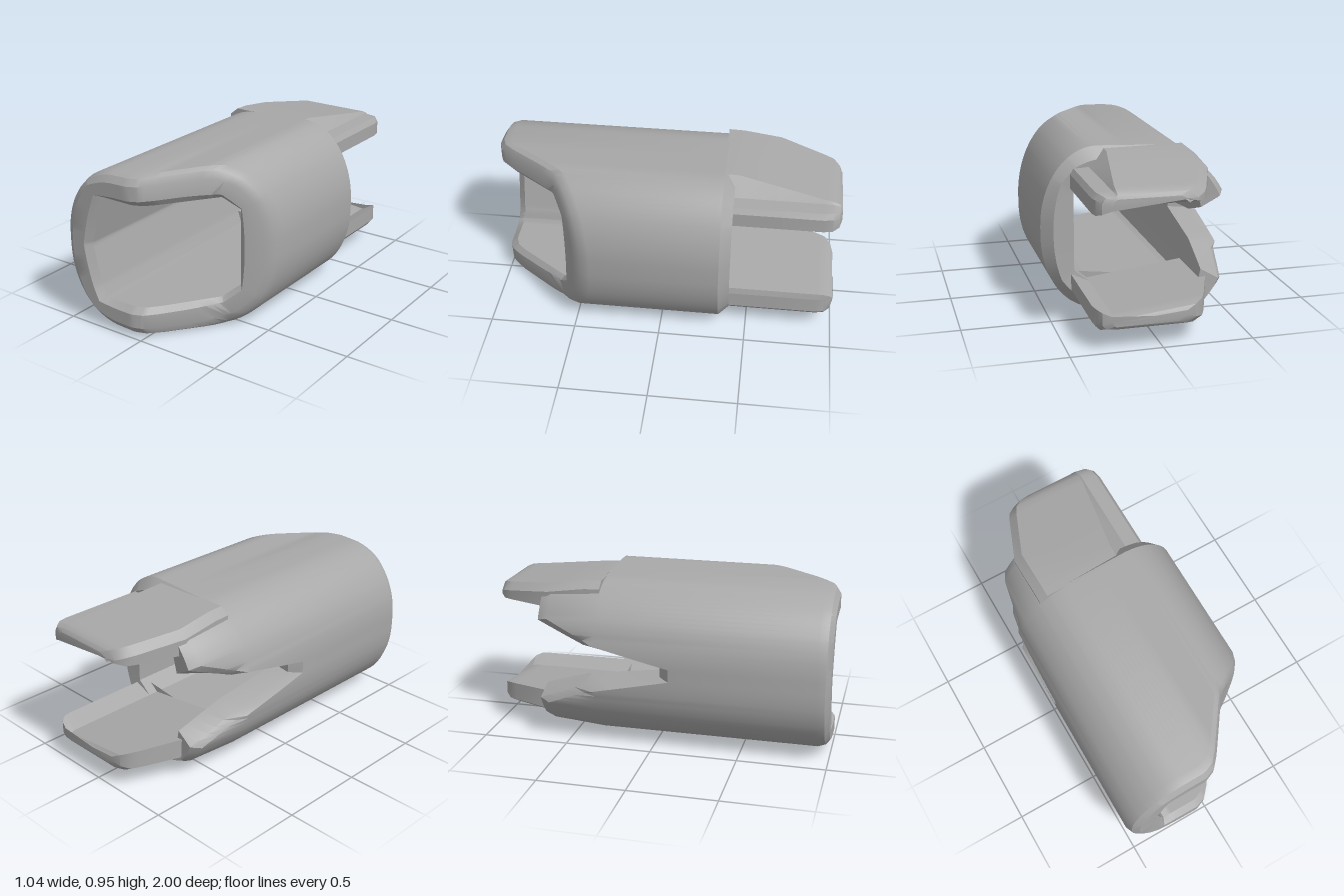
import * as THREE from 'three';
import { toCreasedNormals } from 'three/addons/utils/BufferGeometryUtils.js';

const CY = 0.475; // height of the sleeve axis
const lerp = THREE.MathUtils.lerp;

// Skin rows of points; each row is a closed loop. Rows either wrap round or get end caps.
function loft(rows, wrap) {
  const n = rows[0].length, m = rows.length, index = [];
  for (let r = 0; r < (wrap ? m : m - 1); r++) {
    for (let j = 0; j < n; j++) {
      const k = (j + 1) % n, s = (r + 1) % m;
      const a = r * n + j, b = r * n + k, c = s * n + k, d = s * n + j;
      index.push(a, b, d, b, c, d);
    }
  }
  if (!wrap) {
    const e = (m - 1) * n;
    for (let j = 1; j < n - 1; j++) index.push(0, j + 1, j, e, e + j, e + j + 1);
  }
  const g = new THREE.BufferGeometry();
  g.setAttribute('position', new THREE.Float32BufferAttribute(rows.flat(2), 3));
  g.setIndex(index);
  return toCreasedNormals(g, 0.55);
}

// Piecewise linear curve through [input, output] pairs
function curve(pts, v) {
  if (v <= pts[0][0]) return pts[0][1];
  for (let i = 1; i < pts.length; i++) {
    const [a, p] = pts[i - 1], [b, q] = pts[i];
    if (v <= b) return lerp(p, q, (v - a) / (b - a));
  }
  return pts[pts.length - 1][1];
}

// Where a ray from the axis meets a closed outline
function hit(poly, t) {
  const dx = Math.cos(t), dy = Math.sin(t);
  for (let i = 0; i < poly.length; i++) {
    const [ax, ay] = poly[i], [bx, by] = poly[(i + 1) % poly.length];
    const ex = bx - ax, ey = by - ay, det = ex * dy - ey * dx;
    if (Math.abs(det) < 1e-9) continue;
    const u = ((ay - CY) * dx - ax * dy) / det;
    const d = (ex * (ay - CY) - ey * ax) / det;
    if (d > 0 && u >= -1e-6 && u <= 1 + 1e-6) return [dx * d, CY + dy * d];
  }
  return [0, CY];
}

// Outer outline: four elliptical corners
function outerOutline() {
  const out = [];
  const corners = [[0.2, 0.03, 0.32, 0.445], [-0.16, 0.05, -0.36, 0.41],
    [-0.16, -0.05, -0.36, -0.41], [0.2, -0.03, 0.32, -0.445]];
  corners.forEach(([cx, cy, rx, ry], q) => {
    for (let i = 0; i <= 14; i++) {
      const a = ((q % 2 ? 14 - i : i) / 14) * Math.PI / 2;
      out.push([cx + rx * Math.cos(a), CY + cy + ry * Math.sin(a)]);
    }
  });
  return out;
}

const INNER = [[0.34, 0.25], [0.34, 0.7], [0.255, 0.77], [-0.275, 0.77],
  [-0.35, CY], [-0.3, 0.25], [-0.275, 0.175], [0.255, 0.18]];

// Slanted front edge, as z against x
const FRONT = [[-0.52, 1], [-0.06, 1], [0, 0.975], [0.05, 0.92], [0.26, 0.63], [0.55, 0.44]];

// Back edge, as z against degrees away from the right side's middle: notch, flap, plain end
const BACK = [[0, 0.05], [4, 0.05], [15, -0.4], [30, -0.68], [55.9, -0.68], [56.1, -0.4], [180, -0.4]];

function sleeveGeometry() {
  const outline = outerOutline();
  const angles = [];
  for (let i = 0; i < 120; i++) angles.push(i * 3 + 0.01);
  for (const d of [4, 15, 30, 55.9, 56.1]) angles.push(180 - d, 180 + d);
  for (const [x, y] of INNER) {
    angles.push((THREE.MathUtils.radToDeg(Math.atan2(y - CY, x)) + 360) % 360);
  }
  angles.sort((a, b) => a - b);
  const rows = Array.from({ length: 9 }, () => []);
  for (const deg of angles) {
    const t = THREE.MathUtils.degToRad(deg);
    const o = hit(outline, t), n = hit(INNER, t);
    const back = curve(BACK, Math.abs(deg - 180));
    const flap = back < -0.41 ? 0.15 : 0;
    const at = (k) => [lerp(o[0], n[0], k), lerp(o[1], n[1], k)];
    const front = (k, inset) => [...at(k), curve(FRONT, at(k)[0]) - inset];
    rows[0].push([...at(0.35), back]);
    rows[1].push([...at(flap), back + 0.06]);
    rows[2].push([...o, Math.max(back + 0.08, -0.32)]);
    rows[3].push(front(0, 0.07));
    rows[4].push(front(0.1, 0.025));
    rows[5].push(front(0.32, 0));
    rows[6].push(front(0.8, 0));
    rows[7].push(front(1, 0.04));
    rows[8].push([...n, back + 0.01]);
  }
  return loft(rows, true);
}

// Tongue stations from the tip inward: z, left x, right x, edge rounding
const STATIONS = [[-1, -0.13, 0.28, 0.03], [-0.985, -0.18, 0.325, 0.012],
  [-0.95, -0.225, 0.35, 0], [-0.9, -0.25, 0.36, 0], [-0.64, -0.35, 0.36, 0],
  [-0.42, -0.35, 0.36, 0], [-0.33, -0.35, 0.36, 0]];

function upperTongueGeometry() {
  return loft(STATIONS.map(([z, l, r, e]) => {
    const top = curve([[-1, 0.85], [-0.4, 0.935]], z) - e;
    const fold = curve([[-0.92, 0.245], [-0.42, 0.16]], z), rib = Math.min(0.255, r - 0.02);
    return [[l, 0.77 + e], [rib, 0.77 + e], [r, 0.73 + e], [r, 0.81 - e], [r - 0.02, 0.84 - e],
      [rib, 0.845 - e], [fold, top], [l + 0.05, top], [l, top - 0.04]].map(([x, y]) => [x, y, z]);
  }), false);
}

function lowerTongueGeometry() {
  const floor = (x) => lerp(0.255, 0.18, (x + 0.35) / 0.605);
  return loft(STATIONS.map(([z, l, r, e]) => {
    const rib = Math.min(0.255, r - 0.02), b = 0.11 + e;
    return [[l, b + 0.03], [l + 0.05, b], [rib, b], [r - 0.02, b + 0.005], [r, b + 0.03],
      [r, 0.23 - e], [rib, floor(rib) - e * 0.5], [l, floor(l) - e]].map(([x, y]) => [x, y, z]);
  }), false);
}

export function createModel() {
  const group = new THREE.Group();
  const grey = new THREE.MeshStandardMaterial({ color: 0xa8a8a8 });
  grey.name = 'plain grey';
  const add = (name, geometry) => {
    const mesh = new THREE.Mesh(geometry, grey);
    mesh.name = name;
    group.add(mesh);
  };
  add('sleeve', sleeveGeometry());
  add('upperTongue', upperTongueGeometry());
  add('lowerTongue', lowerTongueGeometry());
  return group;
}
